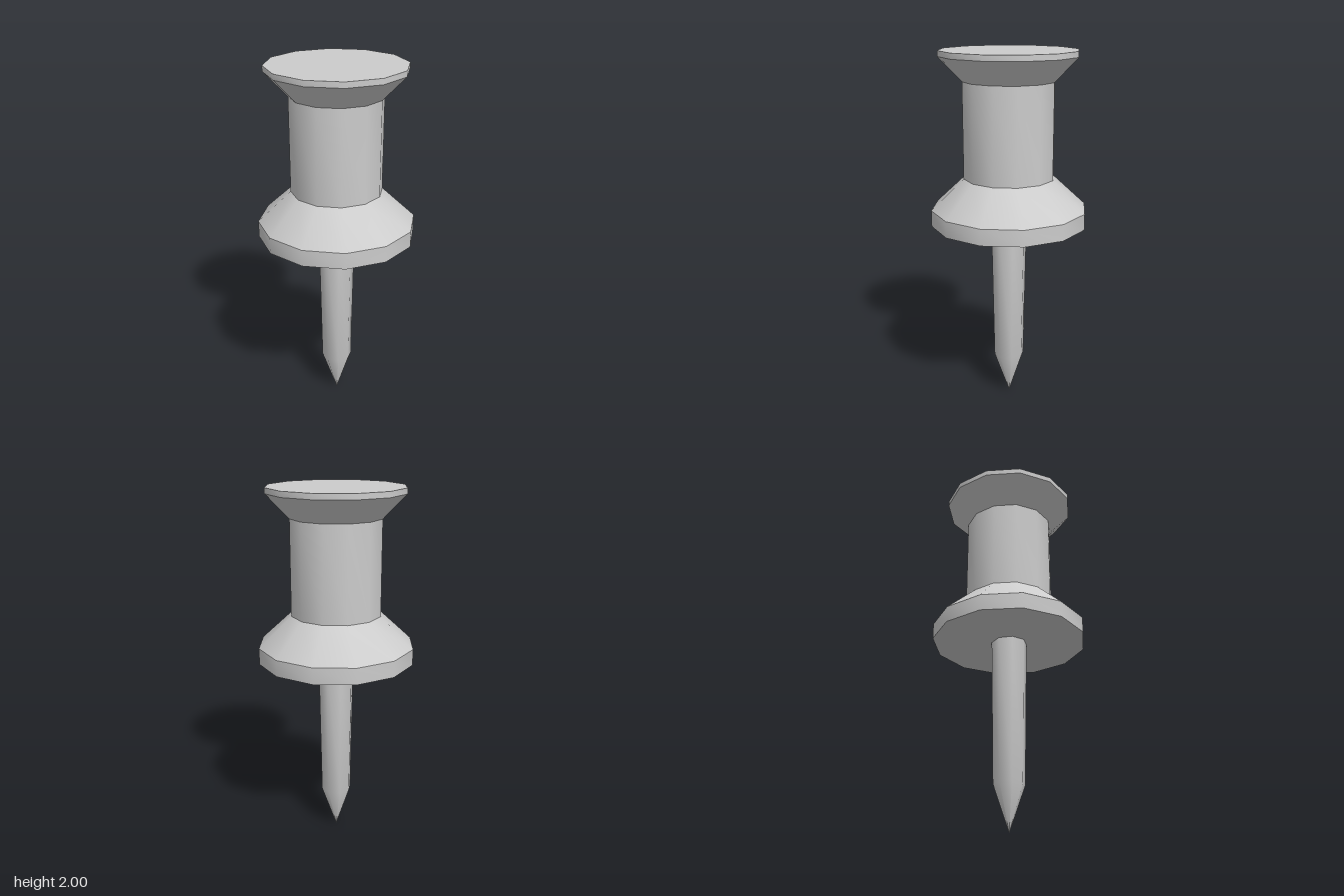
import * as THREE from 'three';
import { toCreasedNormals } from 'three/addons/utils/BufferGeometryUtils.js';

// Faceted solid of revolution; edges sharper than the crease angle stay hard
function turned(name, profile, sides, creaseDegrees, material) {
  const points = profile.map(([r, y]) => new THREE.Vector2(r, y));
  const geometry = toCreasedNormals(
    new THREE.LatheGeometry(points, sides),
    THREE.MathUtils.degToRad(creaseDegrees)
  );
  const mesh = new THREE.Mesh(geometry, material);
  mesh.name = name;
  return mesh;
}

export function createModel() {
  const grey = new THREE.MeshStandardMaterial({ color: 0xcccccc });
  grey.name = 'light grey';

  const group = new THREE.Group();
  group.name = 'pushPin';

  // Handle: wide collar, straight grip and flared top
  group.add(turned('handle', [
    [0, 1.06], [0.432, 1.06], [0.432, 1.15], [0.25, 1.32],
    [0.25, 1.84], [0.375, 1.97], [0.375, 2], [0, 2],
  ], 12, 36, grey));

  // Needle: slightly tapered shank with a pointed tip
  group.add(turned('needle', [
    [0, 0], [0.086, 0.25], [0.1, 1.06], [0, 1.06],
  ], 8, 50, grey));

  return group;
}
